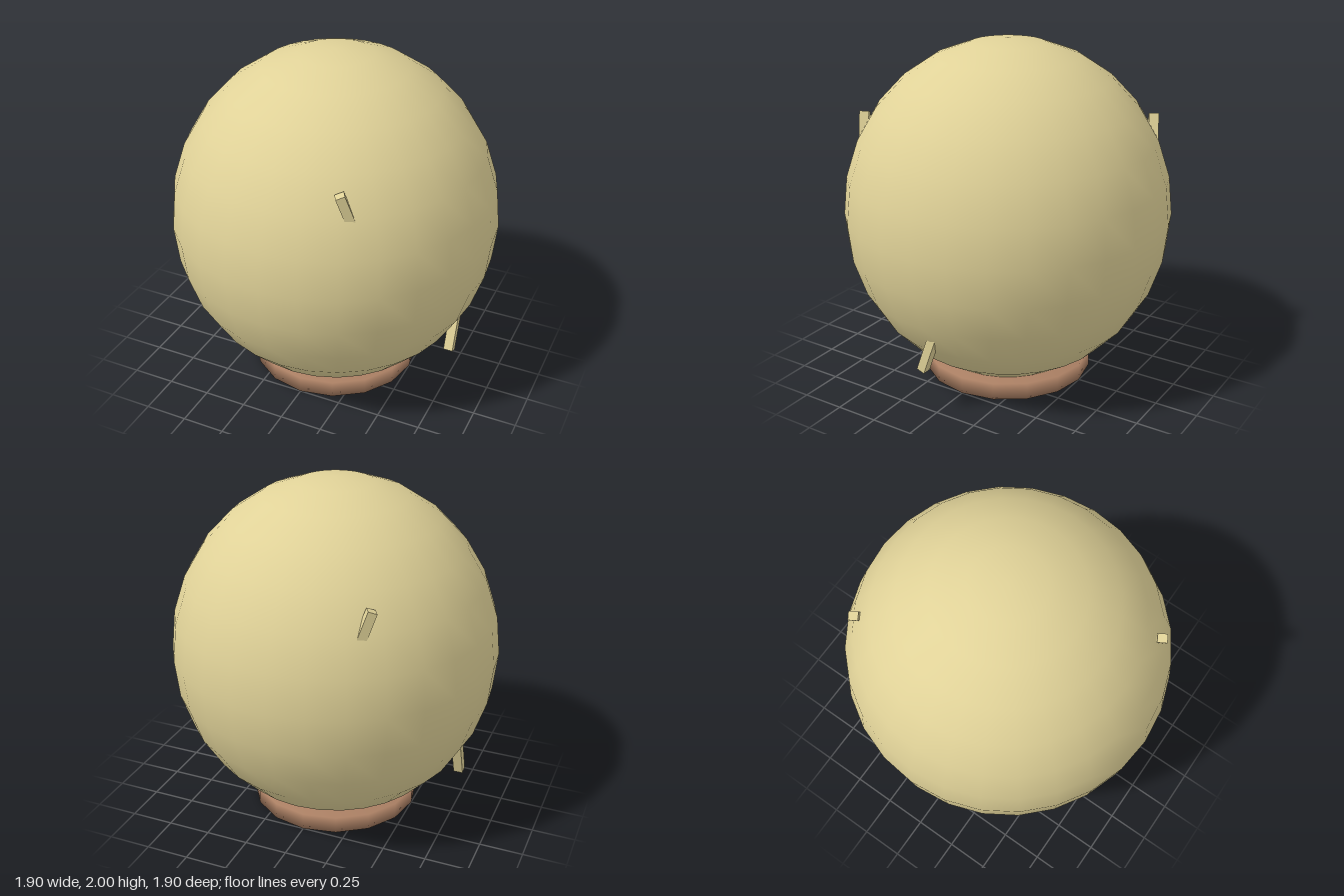
import * as THREE from 'three';
import { mergeVertices } from 'three/addons/utils/BufferGeometryUtils.js';

export function createModel() {
  const model = new THREE.Group();
  const cream = new THREE.MeshStandardMaterial({ color: 0xe0d298 });
  cream.name = 'cream';
  const brown = new THREE.MeshStandardMaterial({ color: 0xaa7f63 });
  brown.name = 'brown';

  const add = (name, geometry, material) => {
    const mesh = new THREE.Mesh(geometry, material);
    mesh.name = name;
    model.add(mesh);
    return mesh;
  };

  // Slightly tall ball, smooth shaded
  const ball = new THREE.SphereGeometry(1, 28, 14);
  ball.scale(0.95, 1, 0.95);
  ball.translate(0, 1, 0);
  add('body', ball, cream);

  // Low round foot, with normals shared between wall and caps
  let foot = new THREE.CylinderGeometry(0.5, 0.5, 0.1, 16);
  foot.deleteAttribute('normal');
  foot.deleteAttribute('uv');
  foot = mergeVertices(foot);
  foot.computeVertexNormals();
  foot.translate(0, 0.05, 0);
  add('base', foot, brown);

  // Small slanted pegs half sunk in the ball: turn about y, then lean sideways
  const pegGeometry = new THREE.BoxGeometry(0.05, 0.3, 0.055);
  const lean = 0.35;
  const pegs = [
    ['frontPeg', [0.411, 1.415, 0.719], Math.PI / 6, lean],
    ['backPeg', [-0.431, 1.415, -0.71], Math.PI / 6, lean],
    ['leftPeg', [0.77, 0.406, 0.019], Math.PI / 2, -lean],
    ['rightPeg', [-0.77, 0.406, 0.019], -Math.PI / 2, lean],
  ];
  for (const [name, position, turn, tilt] of pegs) {
    const peg = add(name, pegGeometry, cream);
    peg.position.set(...position);
    peg.rotation.set(0, turn, tilt, 'YXZ');
  }
  return model;
}
